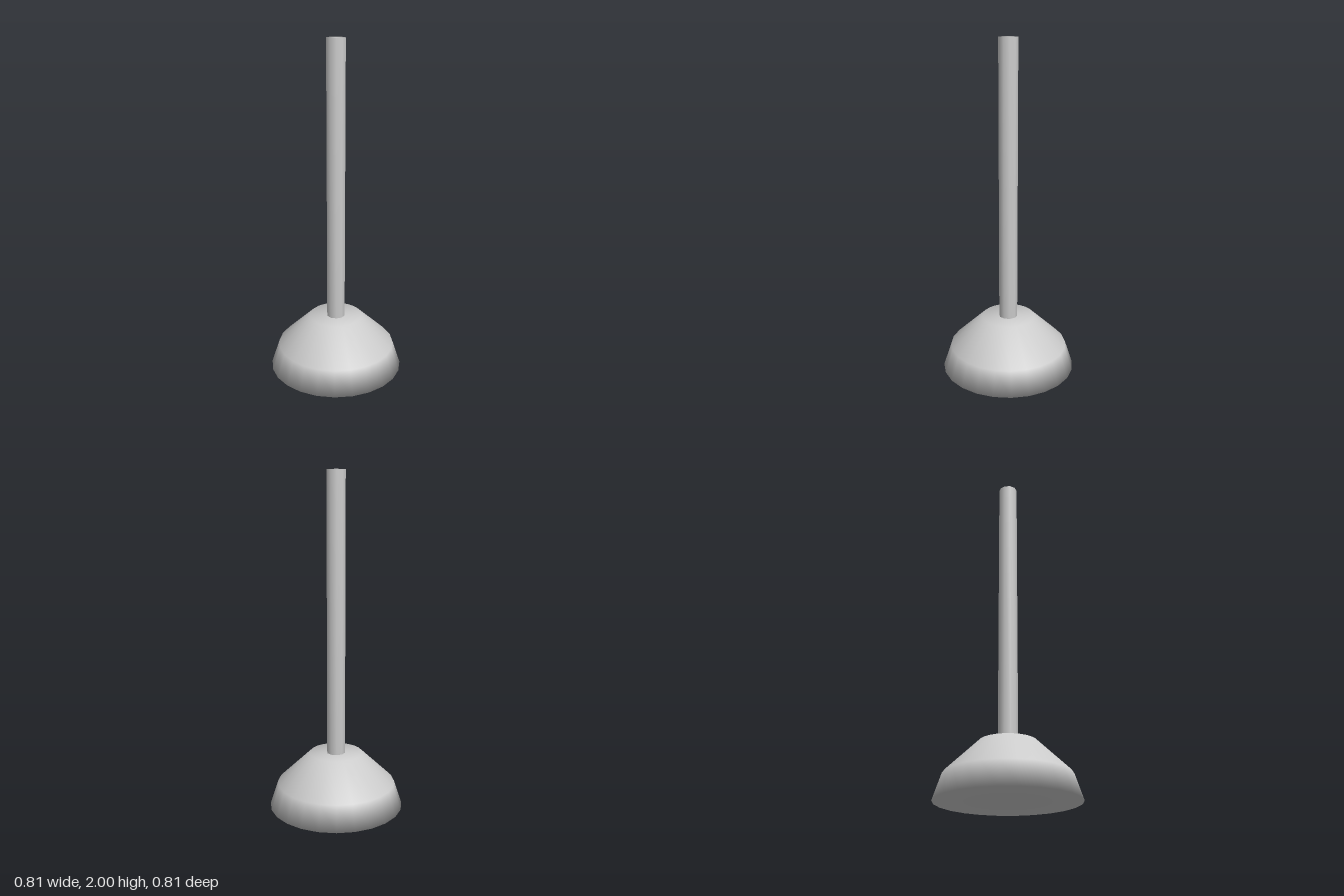
import * as THREE from 'three';

const material = new THREE.MeshStandardMaterial({ color: 0xcccccc });

// Closed solid of revolution, smooth across all edges; profile runs bottom to top
function turned(name, profile, sides, start = 0) {
  const points = profile.map(([r, y]) => new THREE.Vector2(r, y));
  const mesh = new THREE.Mesh(new THREE.LatheGeometry(points, sides, start), material);
  mesh.name = name;
  return mesh;
}

export function createModel() {
  const model = new THREE.Group();
  model.name = 'plunger';

  // Cup: flat underside, steep skirt, sloping shoulder, flat top
  model.add(turned('cup', [[0, 0], [0.403, 0], [0.355, 0.145], [0.16, 0.33], [0, 0.33]], 24));

  // Straight handle standing on the cup
  model.add(turned('handle', [[0, 0.32], [0.056, 0.32], [0.056, 2], [0, 2]], 10, Math.PI / 2));

  return model;
}
